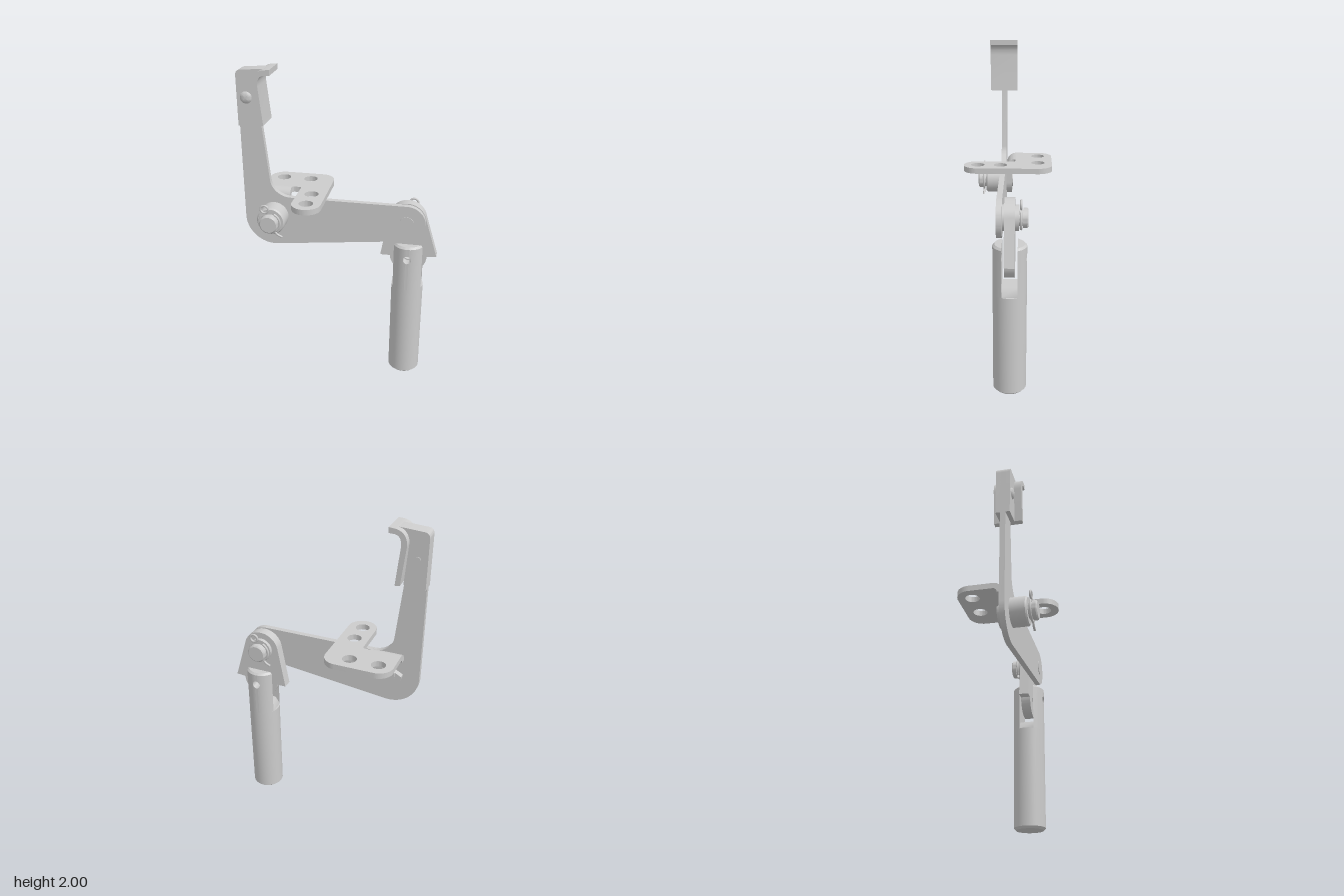
import * as THREE from 'three';
import { toCreasedNormals, mergeGeometries } from 'three/addons/utils/BufferGeometryUtils.js';

const PI = Math.PI;
const mat = new THREE.MeshStandardMaterial({ color: 0xcccccc });

function part(parent, name, geo) {
  const m = new THREE.Mesh(geo, mat);
  m.name = name;
  parent.add(m);
  return m;
}

const poly = pts => new THREE.Shape(pts.map(p => new THREE.Vector2(p[0], p[1])));

// Shape in x/y, thickened from z0 to z1
function plate(shape, z0, z1) {
  const g = new THREE.ExtrudeGeometry(shape, { depth: z1 - z0, bevelEnabled: false, curveSegments: 20 });
  return toCreasedNormals(g.translate(0, 0, z0), 0.6);
}

function hole(shape, x, y, r) {
  shape.holes.push(new THREE.Path().absarc(x, y, r, 0, 2 * PI, true));
}

// Turned part along z; profile is a list of [radius, z] with z rising
function turned(x, y, profile) {
  const g = new THREE.LatheGeometry(profile.map(p => new THREE.Vector2(p[0], p[1])), 40);
  return toCreasedNormals(g.rotateX(PI / 2), 0.5).translate(x, y, 0);
}
const disc = (x, y, r, z0, z1) => turned(x, y, [[0, z0], [r, z0], [r, z1], [0, z1]]);

// Spring wire clip: open ring round the pin, a loop above and a tail below
function wireClip(parent, name, x, y, z, side) {
  const clip = new THREE.Group();
  clip.name = name;
  const w = 0.007;
  part(clip, 'clipRing', new THREE.TorusGeometry(0.064, w, 8, 36, PI * 1.6).rotateZ(PI * 0.75));
  part(clip, 'clipLoop', new THREE.TorusGeometry(0.024, w, 8, 24).translate(-0.03, 0.087, 0));
  const tail = [[0.03, -0.055], [0.045, -0.075], [0.075, -0.09]].map(p => new THREE.Vector3(p[0], p[1], 0));
  part(clip, 'clipTail', new THREE.TubeGeometry(new THREE.CatmullRomCurve3(tail), 8, w, 8));
  clip.position.set(x, y, z);
  if (side < 0) clip.rotation.y = PI;
  parent.add(clip);
}

// One prong of the fork: a round-backed cheek with a cross hole, made of upright strips
function prongGeometry(R, inner, y0, y1, yHole, rHole) {
  const xMax = Math.sqrt(R * R - inner * inner), strips = [];
  const xs = [];
  for (let i = 0; i <= 16; i++) xs.push(-xMax + (2 * xMax * i) / 16);
  for (let i = 0; i <= 8; i++) xs.push(-rHole * Math.cos((PI * i) / 8));
  xs.sort((a, b) => a - b);
  const h = x => Math.sqrt(Math.max(0, rHole * rHole - x * x));
  const bevel = 0.012;
  for (let i = 0; i + 1 < xs.length; i++) {
    const a = xs[i], b = xs[i + 1];
    if (b - a < 1e-5) continue;
    const spans = [
      [y0, y0, yHole - h(a), yHole - h(b)],
      [yHole + h(a), yHole + h(b), y1 - bevel, y1 - bevel],
      [y1 - bevel, y1 - bevel, y1, y1],
    ];
    for (const [la, lb, ta, tb] of spans) {
      const s = poly([[a, la], [b, lb], [b, tb], [a, ta]]);
      strips.push(new THREE.ExtrudeGeometry(s, { depth: 1, bevelEnabled: false }));
    }
  }
  const g = mergeGeometries(strips);
  const p = g.attributes.position;
  for (let i = 0; i < p.count; i++) {
    const k = p.getY(i) > y1 - 1e-4 ? (R - bevel) / R : 1;
    const x = p.getX(i) * k;
    const back = Math.sqrt(Math.max(0, R * R * k * k - x * x));
    p.setX(i, x);
    p.setZ(i, p.getZ(i) > 0.5 ? Math.max(inner, back) : inner);
  }
  return toCreasedNormals(g, 0.5);
}

export function createModel() {
  const root = new THREE.Group();
  root.name = 'leverAssembly';

  // Upright post with a forked top
  const post = new THREE.Group();
  post.name = 'post';
  post.position.set(0.425, 0, -0.03);
  root.add(post);
  const rod = [[0, 0], [0.086, 0], [0.1, 0.014], [0.1, 0.64], [0, 0.64]].map(p => new THREE.Vector2(...p));
  part(post, 'postRod', toCreasedNormals(new THREE.LatheGeometry(rod, 48), 0.5));
  part(post, 'slotFloor', plate(poly([[-0.088, 0.63], [0.088, 0.63], [0.088, 0.645], [0.06, 0.69],
    [-0.06, 0.69], [-0.088, 0.645]]), -0.046, 0.046));
  for (const turn of [0, PI]) {
    part(post, 'forkProng', prongGeometry(0.1, 0.046, 0.64, 0.94, 0.855, 0.026)).rotation.y = turn;
  }

  // Link that stands in the fork
  const link = new THREE.Shape();
  link.moveTo(0.25, 0.845);
  link.lineTo(0.312, 0.845);
  link.absarc(0.425, 0.855, 0.115, PI + 0.09, 2 * PI, false);
  link.lineTo(0.6, 0.86);
  link.absarc(0.41, 1.09, 0.115, 0.27, PI - 0.2, false);
  hole(link, 0.425, 0.855, 0.026);
  part(root, 'link', plate(link, -0.06, 0));

  // Bent lever arm
  const arm = new THREE.Shape();
  arm.moveTo(-0.6, 1.06);
  arm.absarc(-0.42, 1.06, 0.18, PI, 2 * PI - 1.457, false);
  arm.absarc(0.41, 1.09, 0.115, -1.457, PI / 2, false);
  arm.lineTo(-0.31, 1.205);
  arm.bezierCurveTo(-0.37, 1.205, -0.425, 1.25, -0.433, 1.31);
  arm.lineTo(-0.5, 1.95);
  arm.lineTo(-0.6, 1.95);
  part(root, 'leverArm', plate(arm, 0.013, 0.046));

  // Pivot pin of link and arm
  part(root, 'linkPivotPin', turned(0.41, 1.09, [[0, -0.135], [0.05, -0.135], [0.058, -0.128], [0.058, -0.105],
    [0.046, -0.105], [0.046, 0.05], [0, 0.05]]));
  part(root, 'linkWasher', disc(0.41, 1.09, 0.075, -0.083, -0.06));
  part(root, 'linkSpacer', disc(0.41, 1.09, 0.075, 0, 0.013));
  wireClip(root, 'linkClip', 0.41, 1.09, -0.094, -1);

  // Mounting plate, drawn flat with y = -z and then laid down
  const top = new THREE.Shape();
  top.moveTo(-0.5, 0.05);
  top.lineTo(-0.322, 0.05);
  top.lineTo(-0.322, 0.03);
  top.quadraticCurveTo(-0.32, 0.05, -0.3, 0.05);
  top.lineTo(-0.28, 0.05);
  top.quadraticCurveTo(-0.262, 0.05, -0.262, 0.03);
  top.absarc(-0.1735, -0.191, 0.0885, PI, 2 * PI, false);
  top.absarc(-0.175, 0.195, 0.09, 0, PI / 2, false);
  top.absarc(-0.41, 0.195, 0.09, PI / 2, PI, false);
  for (const [x, y] of [[-0.41, 0.195], [-0.235, 0.195], [-0.175, -0.045], [-0.175, -0.19]]) hole(top, x, y, 0.043);
  const bracket = new THREE.Group();
  bracket.name = 'mountingBracket';
  root.add(bracket);
  part(bracket, 'mountingPlate', plate(top, 0, 0.035).rotateX(-PI / 2).translate(0, 1.205, 0));

  // Bend and hanging tab behind the arm
  const bend = new THREE.Shape();
  bend.absarc(0, 0, 0.06, 0, PI / 2, false);
  bend.absarc(0, 0, 0.025, PI / 2, 0, true);
  part(bracket, 'plateBend', plate(bend, 0, 0.178).rotateY(-PI / 2).translate(-0.322, 1.18, -0.05));
  const tab = new THREE.Shape();
  tab.moveTo(-0.5, 1.18);
  tab.absarc(-0.411, 1.08, 0.089, PI, 2 * PI, false);
  tab.lineTo(-0.322, 1.18);
  part(bracket, 'plateTab', plate(tab, -0.025, 0.01));

  // Sleeve and pin at the elbow
  part(root, 'elbowSleeve', turned(-0.412, 1.08, [[0, 0.046], [0.0875, 0.046], [0.0875, 0.138], [0.08, 0.147], [0, 0.147]]));
  part(root, 'elbowPin', turned(-0.412, 1.08, [[0, -0.03], [0.05, -0.03], [0.05, 0.172], [0.058, 0.172], [0.058, 0.193],
    [0.05, 0.2], [0, 0.2]]));
  wireClip(root, 'elbowClip', -0.412, 1.08, 0.163, 1);

  // Clip head folded round the arm's upper end
  const head = new THREE.Group();
  head.name = 'clipHead';
  root.add(head);
  const body = new THREE.Shape();
  body.moveTo(-0.6, 1.655);
  body.lineTo(-0.473, 1.67);
  body.lineTo(-0.49, 1.9);
  body.quadraticCurveTo(-0.485, 1.96, -0.44, 1.975);
  body.lineTo(-0.43, 1.995);
  body.lineTo(-0.572, 1.984);
  body.quadraticCurveTo(-0.6, 1.98, -0.6, 1.95);
  part(head, 'headBody', plate(body, -0.015, 0.072));

  // Hooked lip
  const lip = new THREE.Shape();
  lip.moveTo(-0.465, 1.678);
  lip.lineTo(-0.435, 1.675);
  lip.lineTo(-0.458, 1.9);
  lip.bezierCurveTo(-0.46, 1.95, -0.44, 1.967, -0.41, 1.967);
  lip.lineTo(-0.385, 1.968);
  lip.lineTo(-0.385, 2);
  lip.lineTo(-0.42, 1.997);
  lip.bezierCurveTo(-0.47, 1.99, -0.495, 1.95, -0.49, 1.9);
  part(head, 'headLip', plate(lip, -0.057, 0.117));

  // Rivet through the head
  part(head, 'headRivet', turned(-0.545, 1.825, [[0, -0.02], [0.016, -0.02], [0.016, 0.07], [0.036, 0.072],
    [0.028, 0.08], [0.014, 0.085], [0, 0.086]]));

  return root;
}
